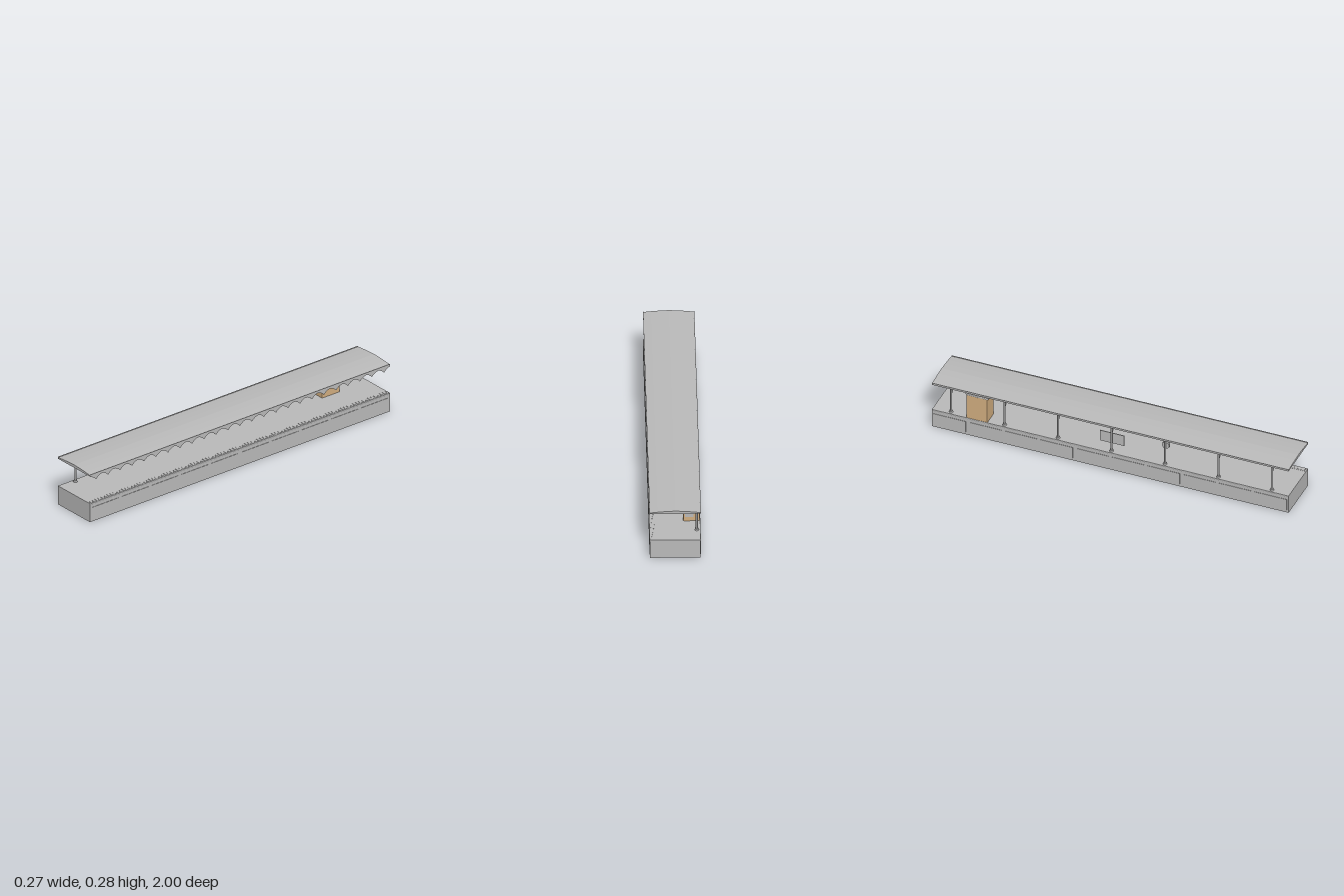
import * as THREE from 'three';
import { mergeGeometries } from 'three/addons/utils/BufferGeometryUtils.js';

const material = (name, color) => {
  const m = new THREE.MeshStandardMaterial({ color });
  m.name = name;
  return m;
};

export function createModel() {
  const grey = material('light grey', 0xbababa);
  const tan = material('tan', 0xd2ae80);
  const root = new THREE.Group();
  root.name = 'stationPlatform';

  const add = (name, geo, mat = grey, parent = root) => {
    const mesh = new THREE.Mesh(geo, mat);
    mesh.name = name;
    parent.add(mesh);
    return mesh;
  };
  // box from its two opposite corners
  const box = (x0, x1, y0, y1, z0, z1) =>
    new THREE.BoxGeometry(x1 - x0, y1 - y0, z1 - z0)
      .translate((x0 + x1) / 2, (y0 + y1) / 2, (z0 + z1) / 2);
  const rod = (a, b, r, sides = 10) => {
    const from = new THREE.Vector3(...a), to = new THREE.Vector3(...b);
    const dir = to.clone().sub(from);
    const q = new THREE.Quaternion().setFromUnitVectors(new THREE.Vector3(0, 1, 0), dir.clone().normalize());
    return new THREE.CylinderGeometry(r, r, dir.length(), sides)
      .applyQuaternion(q).translate(...from.add(to).multiplyScalar(0.5).toArray());
  };
  const outline = pts => new THREE.Shape(pts.map(p => new THREE.Vector2(...p)));
  // profile in x, y run along the whole platform
  const along = shape => new THREE.ExtrudeGeometry(shape, { depth: 2, bevelEnabled: false }).translate(0, 0, -1);

  // platform body and its overhanging slab with softened edges
  add('platformBody', box(-0.131, 0.131, 0, 0.1, -1, 1));
  add('platformSlab', along(outline([
    [-0.132, 0.099], [0.132, 0.099], [0.133, 0.101], [0.133, 0.105], [0.132, 0.107],
    [-0.132, 0.107], [-0.133, 0.105], [-0.133, 0.101]])));

  // thin wall panels on both long sides
  const panels = [];
  for (const s of [-1, 1]) for (let i = 0; i < 10; i++) {
    const z = -0.9 + i * 0.2, a = s * 0.1305, b = s * 0.133;
    panels.push(box(Math.min(a, b), Math.max(a, b), 0.015, 0.082, z - 0.09, z + 0.09));
  }
  add('wallPanels', mergeGeometries(panels));

  // raised warning strip with studs near the track edge
  add('warningStrip', box(0.103, 0.125, 0.106, 0.108, -1, 1));
  const studs = [];
  for (let i = 0; i < 100; i++) for (const x of [0.108, 0.114, 0.12]) {
    studs.push(new THREE.CylinderGeometry(0.0016, 0.0025, 0.0015, 6).translate(x, 0.1086, -0.99 + i * 0.02));
  }
  add('warningStuds', mergeGeometries(studs));

  // shallow pitched canopy with an edge lip on each side
  add('canopyRoof', along(outline([
    [-0.132, 0.265], [0.132, 0.265], [0.132, 0.272], [0.09, 0.2765], [0.045, 0.28], [0, 0.282],
    [-0.045, 0.28], [-0.09, 0.2765], [-0.132, 0.272]])));
  for (const s of [-1, 1]) {
    add('canopyLip', box(s * 0.132 - 0.001, s * 0.132 + 0.001, 0.265, 0.276, -1, 1));
  }

  // pointed valance hanging below the track side of the canopy
  const valance = new THREE.Shape();
  const step = 0.08;
  valance.moveTo(-1, 0.266);
  valance.lineTo(-1, 0.262);
  for (let i = 0; i < 25; i++) {
    const z = -1 + i * step;
    valance.quadraticCurveTo(z + step * 0.28, 0.259, z + step / 2, 0.238);
    valance.quadraticCurveTo(z + step * 0.72, 0.259, z + step, 0.262);
  }
  valance.lineTo(1, 0.266);
  add('valance', new THREE.ExtrudeGeometry(valance, { depth: 0.0015, bevelEnabled: false, curveSegments: 4 })
    .rotateY(-Math.PI / 2).translate(0.132, 0, 0));

  // row of posts with base collars and diagonal brackets
  const postX = -0.113;
  for (let i = -3; i <= 3; i++) {
    const post = new THREE.Group();
    post.name = 'post';
    post.position.z = i * 0.3;
    root.add(post);
    add('postShaft', new THREE.CylinderGeometry(0.0055, 0.0055, 0.16, 14).translate(postX, 0.186, 0), grey, post);
    add('postBase', new THREE.CylinderGeometry(0.009, 0.011, 0.008, 16).translate(postX, 0.111, 0), grey, post);
    add('postBracket', rod([postX, 0.217, 0], [-0.05, 0.266, 0], 0.0032), grey, post);
  }

  // name board and round clock carried by posts
  add('signBoard', box(-0.107, -0.103, 0.152, 0.216, -0.068, 0.068));
  add('clock', new THREE.CylinderGeometry(0.02, 0.02, 0.01, 28)
    .rotateZ(Math.PI / 2).translate(-0.102, 0.22, 0.3));
  add('clockRim', new THREE.TorusGeometry(0.02, 0.002, 8, 28)
    .rotateY(Math.PI / 2).translate(-0.097, 0.22, 0.3));

  // small loudspeakers hung from the canopy
  for (const z of [-0.75, -0.25, 0.25, 0.75]) {
    const speaker = new THREE.Group();
    speaker.name = 'loudspeaker';
    speaker.position.set(-0.084, 0, z);
    root.add(speaker);
    add('speakerRod', rod([0, 0.247, 0], [0, 0.266, 0], 0.0012, 8), grey, speaker);
    add('speakerHorn', new THREE.CylinderGeometry(0.004, 0.008, 0.02, 14)
      .rotateX(-Math.PI / 2 + 0.3).translate(0, 0.247, 0), grey, speaker);
  }

  // upright block with rounded corners, seen in plan as x by z
  const roundedBlock = (x0, x1, y0, y1, z0, z1, r, bevel) => {
    const s = new THREE.Shape();
    const [a, b, c, d] = [x0 + bevel, x1 - bevel, -z1 + bevel, -z0 - bevel];
    s.moveTo(a + r, c);
    s.lineTo(b - r, c);
    s.quadraticCurveTo(b, c, b, c + r);
    s.lineTo(b, d - r);
    s.quadraticCurveTo(b, d, b - r, d);
    s.lineTo(a + r, d);
    s.quadraticCurveTo(a, d, a, d - r);
    s.lineTo(a, c + r);
    s.quadraticCurveTo(a, c, a + r, c);
    return new THREE.ExtrudeGeometry(s, {
      depth: y1 - y0 - 2 * bevel, curveSegments: 6, bevelEnabled: bevel > 0,
      bevelSize: bevel, bevelThickness: bevel, bevelSegments: 4,
    }).rotateX(-Math.PI / 2).translate(0, y0 + bevel, 0);
  };

  // ticket kiosk with cap, serving window, counter and door panel
  const kiosk = new THREE.Group();
  kiosk.name = 'kiosk';
  root.add(kiosk);
  add('kioskWalls', roundedBlock(-0.13, -0.044, 0.106, 0.25, -0.81, -0.69, 0.008, 0), tan, kiosk);
  add('kioskCap', roundedBlock(-0.131, -0.038, 0.248, 0.259, -0.816, -0.684, 0.01, 0.005), grey, kiosk);
  add('servingWindow', box(-0.045, -0.042, 0.178, 0.234, -0.788, -0.712), grey, kiosk);
  add('counter', box(-0.044, -0.026, 0.174, 0.178, -0.79, -0.71), grey, kiosk);
  add('doorPanel', box(-0.098, -0.054, 0.13, 0.212, -0.8115, -0.809), grey, kiosk);

  return root;
}
